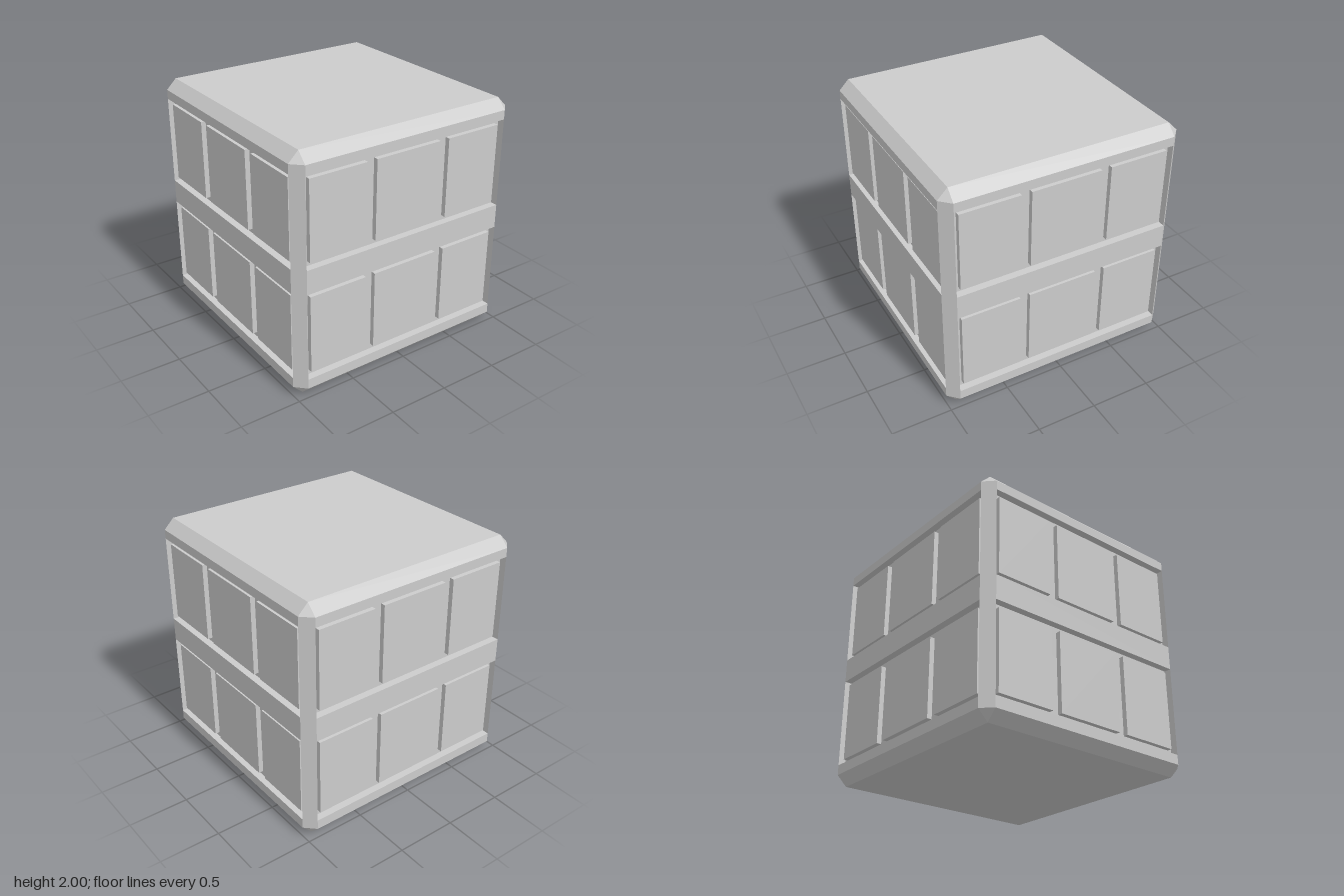
import * as THREE from 'three';
import { ConvexGeometry } from 'three/addons/geometries/ConvexGeometry.js';

const BEVEL = 0.083;          // chamfer on every outer edge
const E = 1 - BEVEL;          // flat half-width of each side
const FLOOR = 0.94;           // recessed wall distance from the centre
const PANEL = 0.98;           // panel face distance from the centre

export function createModel() {
  const model = new THREE.Group();
  const material = new THREE.MeshStandardMaterial({ color: 0xcccccc, flatShading: true });

  const add = (name, geometry, parent = model) => {
    const mesh = new THREE.Mesh(geometry, material);
    mesh.name = name;
    parent.add(mesh);
    return mesh;
  };

  // Repeats one side's outline points around the four sides
  const outline = (side) => {
    const pts = [];
    for (let k = 0; k < 4; k++) {
      const a = k * Math.PI / 2;
      for (const [x, y] of side) {
        pts.push(new THREE.Vector2(x * Math.cos(a) - y * Math.sin(a), x * Math.sin(a) + y * Math.cos(a)));
      }
    }
    return pts;
  };
  const octagon = outline([[1, -E], [1, E]]);
  const notched = outline([[1, -E], [FLOOR, -E], [FLOOR, E], [1, E]]);

  // Horizontal layer with a constant outline
  const layer = (name, pts, y0, y1) => {
    const g = new THREE.ExtrudeGeometry(new THREE.Shape(pts), { depth: y1 - y0, bevelEnabled: false });
    g.rotateX(-Math.PI / 2).translate(0, y0, 0);
    add(name, g);
  };

  // Chamfered slab closing the top or bottom
  const cap = (name, inner, edge, outer) => {
    const pts = [];
    for (const p of octagon) {
      pts.push(new THREE.Vector3(p.x, inner, p.y), new THREE.Vector3(p.x, edge, p.y));
    }
    for (const x of [-E, E]) for (const z of [-E, E]) pts.push(new THREE.Vector3(x, outer, z));
    add(name, new ConvexGeometry(pts));
  };

  cap('bottomCap', 0.165, BEVEL, 0);
  layer('lowerRecess', notched, 0.165, 0.905);
  layer('middleBand', octagon, 0.905, 1.105);
  layer('upperRecess', notched, 1.105, 1.84);
  cap('topCap', 1.84, 2 - BEVEL, 2);

  // Two rows of three raised panels on each side
  const columns = [[-0.875, -0.378], [-0.295, 0.295], [0.378, 0.875]];
  const rows = [[0.208, 0.863], [1.145, 1.8]];
  ['front', 'left', 'back', 'right'].forEach((side, k) => {
    const group = new THREE.Group();
    group.name = side + 'Panels';
    group.rotation.y = k * Math.PI / 2;
    for (const [y0, y1] of rows) {
      for (const [x0, x1] of columns) {
        const depth = PANEL - FLOOR + 0.02;
        const panel = add('panel', new THREE.BoxGeometry(x1 - x0, y1 - y0, depth), group);
        panel.position.set((x0 + x1) / 2, (y0 + y1) / 2, PANEL - depth / 2);
      }
    }
    model.add(group);
  });

  return model;
}
